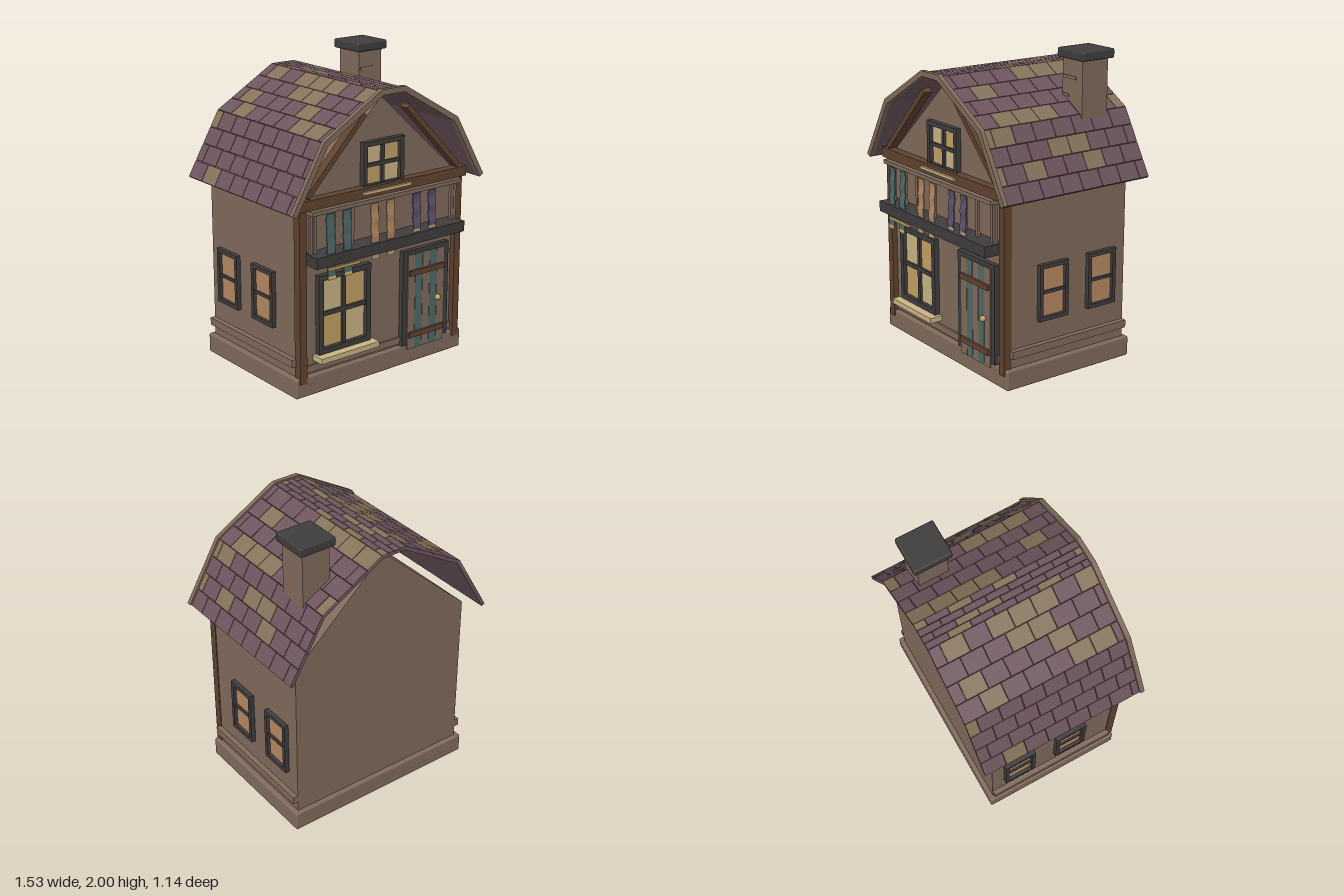
import * as THREE from 'three';
import { RoundedBoxGeometry } from 'three/addons/geometries/RoundedBoxGeometry.js';

const mat = (name, color) => {
  const m = new THREE.MeshStandardMaterial({ color });
  m.name = name;
  return m;
};

export function createModel() {
  const plaster = mat('plaster brown', 0x806a5b), roofMat = mat('roof plum', 0x6d555d);
  const mossy = mat('weathered tan', 0x85735b), timber = mat('dark timber', 0x5f432f);
  const iron = mat('charcoal', 0x3f3c3c), cream = mat('cream', 0xc9b584);
  const gold = mat('gold', 0xc3a163), orange = mat('warm orange', 0xb48862);
  const teal = mat('teal', 0x4f6a66), violet = mat('violet', 0x5e5170);

  const house = new THREE.Group();
  house.name = 'house';
  const add = (name, geo, m, parent = house) => {
    const mesh = new THREE.Mesh(geo, m);
    mesh.name = name;
    parent.add(mesh);
    return mesh;
  };
  // Box given by its limits on each axis
  const box = (name, m, x0, x1, y0, y1, z0, z1, parent = house, r = 0) => {
    const s = [x1 - x0, y1 - y0, z1 - z0];
    const mesh = add(name, r ? new RoundedBoxGeometry(...s, 2, r) : new THREE.BoxGeometry(...s), m, parent);
    mesh.position.set((x0 + x1) / 2, (y0 + y1) / 2, (z0 + z1) / 2);
    return mesh;
  };
  const group = (name) => {
    const g = new THREE.Group();
    g.name = name;
    house.add(g);
    return g;
  };
  const extrude = (name, pts, z0, z1, m) => {
    const shape = new THREE.Shape(pts.map((p) => new THREE.Vector2(p[0], p[1])));
    const geo = new THREE.ExtrudeGeometry(shape, { depth: z1 - z0, bevelEnabled: false });
    geo.translate(0, 0, z0);
    return add(name, geo, m);
  };

  // Base and walls
  box('base', plaster, -0.683, 0.683, 0, 0.13, -0.5, 0.47, house, 0.012);
  extrude('walls', [[-0.65, 0.12], [0.65, 0.12], [0.65, 1.21], [0, 1.8], [-0.65, 1.21]], -0.47, 0.44, plaster);
  box('frontPlinth', plaster, -0.61, 0.61, 0.145, 0.19, 0.43, 0.452);
  for (const s of [-1, 1]) {
    const x = s * 0.66;
    box('sideMoulding', plaster, x - 0.025, x + 0.025, 0.2, 0.25, -0.47, 0.43);
    box('cornerPost', timber, s * 0.63 - 0.026, s * 0.63 + 0.026, 0.09, 1.21, 0.42, 0.476);
    // Sloping gable timbers
    const a = [s * 0.605, 1.28], b = [s * 0.17, 1.725];
    const brace = add('gableBrace', new THREE.BoxGeometry(Math.hypot(b[0] - a[0], b[1] - a[1]), 0.034, 0.06), timber);
    brace.position.set((a[0] + b[0]) / 2, (a[1] + b[1]) / 2, 0.465);
    brace.rotation.z = Math.atan2(b[1] - a[1], b[0] - a[0]);
  }
  box('crossBeam', timber, -0.67, 0.67, 1.2, 1.265, 0.42, 0.5);

  // Framed window facing +z, its back on z = 0
  const makeWindow = (name, w, h, f, cols, paneMats, depth) => {
    const g = group(name), bar = f * 0.75;
    for (const s of [-1, 1]) {
      const x = s * (w - f) / 2, y = s * (h - f) / 2;
      box('frameSide', iron, x - f / 2, x + f / 2, -h / 2, h / 2, -0.01, depth, g);
      box('frameRail', iron, -w / 2 + f, w / 2 - f, y - f / 2, y + f / 2, -0.01, depth, g);
    }
    const iw = (w - 2 * f) / cols, ih = (h - 2 * f) / 2;
    for (let i = 0; i < cols; i++) for (let j = 0; j < 2; j++) {
      const x = -w / 2 + f + i * iw, y = -h / 2 + f + j * ih;
      box('pane', paneMats[(i + j) % 2], x, x + iw, y, y + ih, 0, 0.008, g);
    }
    box('crossBar', iron, -w / 2 + f, w / 2 - f, -bar / 2, bar / 2, 0, depth * 0.7, g);
    if (cols > 1) box('uprightBar', iron, -bar / 2, bar / 2, -h / 2 + f, h / 2 - f, 0, depth * 0.7, g);
    return g;
  };
  makeWindow('frontWindow', 0.41, 0.515, 0.036, 2, [gold, cream], 0.035).position.set(-0.305, 0.508, 0.44);
  box('frontSill', cream, -0.533, -0.073, 0.215, 0.25, 0.43, 0.53);
  makeWindow('gableWindow', 0.325, 0.3, 0.03, 2, [gold, cream], 0.035).position.set(-0.002, 1.39, 0.44);
  box('gableSill', cream, -0.19, 0.19, 1.225, 1.243, 0.43, 0.515);
  for (const s of [-1, 1]) for (const z of [0.11, -0.27]) {
    const w = makeWindow('sideWindow', 0.222, 0.365, 0.026, 1, [orange, orange], 0.03);
    w.position.set(s * 0.65, 0.575, z);
    w.rotation.y = s * Math.PI / 2;
  }

  // Door
  const door = group('door');
  box('jamb', iron, 0.165, 0.203, 0.13, 0.775, 0.43, 0.474, door);
  box('jamb', iron, 0.517, 0.555, 0.13, 0.775, 0.43, 0.474, door);
  box('lintel', iron, 0.203, 0.517, 0.745, 0.775, 0.43, 0.474, door);
  for (let i = 0; i < 5; i++) {
    const x = 0.205 + i * 0.062;
    box('plank', i % 2 ? teal : plaster, x, x + 0.06, 0.1, 0.745, 0.43, 0.478, door);
  }
  for (const y of [0.2, 0.623]) box('batten', timber, 0.212, 0.505, y - 0.018, y + 0.018, 0.47, 0.494, door);
  add('knob', new THREE.SphereGeometry(0.02, 12, 8), gold, door).position.set(0.455, 0.41, 0.49);

  // Balcony rail, balusters and hanging cloths
  box('balconyRail', iron, -0.6, 0.597, 0.855, 0.925, 0.44, 0.572);
  for (const x of [-0.58, -0.55, -0.41, -0.265, -0.07, 0.265, 0.4, 0.555, 0.58])
    box('baluster', plaster, x - 0.011, x + 0.011, 0.92, 1.2, 0.475, 0.495);
  box('topRail', plaster, -0.6, 0.6, 1.175, 1.2, 0.47, 0.535);
  const cloth = (m, x, y0, y1) => {
    const geo = new THREE.BoxGeometry(0.062, y1 - y0, 0.007, 1, 10, 1);
    geo.translate(x, (y0 + y1) / 2, 0);
    const p = geo.attributes.position;
    for (let i = 0; i < p.count; i++) {
      const y = p.getY(i);
      p.setZ(i, p.getZ(i) + 0.544 + (1.07 - y) * 0.04 + 0.004 * Math.sin(y * 60));
    }
    geo.computeVertexNormals();
    add('cloth', geo, m);
  };
  for (const x of [-0.475, -0.35]) {
    cloth(teal, x, 0.785, 1.175);
    cloth(gold, x, 0.765, 0.785);
  }
  box('goldCord', gold, -0.505, -0.26, 0.822, 0.84, 0.55, 0.562);
  for (const x of [-0.133, -0.007]) {
    cloth(orange, x, 0.84, 1.175);
    cloth(cream, x, 0.82, 0.84);
  }
  for (const x of [0.207, 0.335]) {
    cloth(violet, x, 0.945, 1.175);
    cloth(cream, x, 0.925, 0.945);
  }

  // Gambrel roof: a strip of constant thickness below the profile
  const profile = [[-0.755, 1.205], [-0.52, 1.61], [-0.09, 1.86], [0.09, 1.86], [0.52, 1.61], [0.755, 1.205]];
  const normal = (i) => {
    const [a, b] = [profile[i], profile[i + 1]];
    const l = Math.hypot(b[0] - a[0], b[1] - a[1]);
    return [-(b[1] - a[1]) / l, (b[0] - a[0]) / l];
  };
  const offset = (d) => profile.map((p, i) => {
    const n = normal(Math.max(i - 1, 0)), m = normal(Math.min(i, 4));
    const k = d / (1 + n[0] * m[0] + n[1] * m[1]);
    return [p[0] + (n[0] + m[0]) * k, p[1] + (n[1] + m[1]) * k];
  });
  const strip = (name, top, bottom, z0, z1, m) =>
    extrude(name, [...offset(bottom), ...offset(top).reverse()], z0, z1, m);
  strip('roofDeck', -0.008, -0.024, -0.568, 0.53, roofMat);
  strip('bargeBoard', 0.012, -0.024, 0.527, 0.558, plaster);

  // Staggered tiles; weathered stretches listed by row as [zMin, zMax]
  const worn = {
    0: [[-0.42, -0.27]], 3: [[-0.57, -0.495]],
    4: [[-0.42, -0.27], [0.18, 0.48]], 5: [[-0.495, -0.345], [0.105, 0.255]],
    6: [[-0.12, 0.18]], 7: [[-0.495, -0.345], [-0.195, 0.255], [0.405, 0.53]],
    8: [[-0.42, -0.27], [0.18, 0.33]], 9: [[-0.345, -0.045]], 10: [[0.48, 0.53]],
    11: [[-0.57, -0.495], [-0.345, -0.195], [-0.045, 0.105]],
    12: [[-0.57, 0.03]], 13: [[0.255, 0.405]], 15: [[-0.57, -0.495], [-0.045, 0.405]],
    16: [[0.33, 0.53]], 17: [[-0.195, 0.105]], 18: [[0.18, 0.33], [0.48, 0.53], [-0.27, -0.12]],
  };
  const tiles = group('roofTiles');
  for (let row = 0; row < 20; row++) {
    const seg = Math.floor(row / 4), t = ((row % 4) + 0.5) / 4;
    const [a, b] = [profile[seg], profile[seg + 1]], n = normal(seg);
    const pitch = Math.hypot(b[0] - a[0], b[1] - a[1]) / 4;
    for (let z1 = 0.527, z0 = row % 2 ? 0.405 : 0.48; z1 > -0.57; z1 = z0, z0 = Math.max(z0 - 0.15, -0.57)) {
      const mid = (z0 + z1) / 2;
      const isWorn = (worn[row] || []).some((r) => mid > r[0] && mid < r[1]);
      const tile = add('tile', new THREE.BoxGeometry(pitch - 0.004, 0.012, z1 - z0 - 0.004), isWorn ? mossy : roofMat, tiles);
      tile.position.set(a[0] + (b[0] - a[0]) * t - n[0] * 0.005, a[1] + (b[1] - a[1]) * t - n[1] * 0.005, mid);
      tile.rotation.z = Math.atan2(b[1] - a[1], b[0] - a[0]);
    }
  }

  // Chimney
  box('chimney', plaster, 0.347, 0.538, 1.49, 1.95, -0.4, -0.2);
  box('chimneyCap', iron, 0.318, 0.568, 1.94, 2, -0.43, -0.175, house, 0.012);
  for (const [x1, y] of [[0.48, 1.825], [0.41, 1.71], [0.48, 1.6]])
    box('chimneyBrick', mossy, 0.358, x1, y - 0.009, y + 0.009, -0.202, -0.193);

  return house;
}
